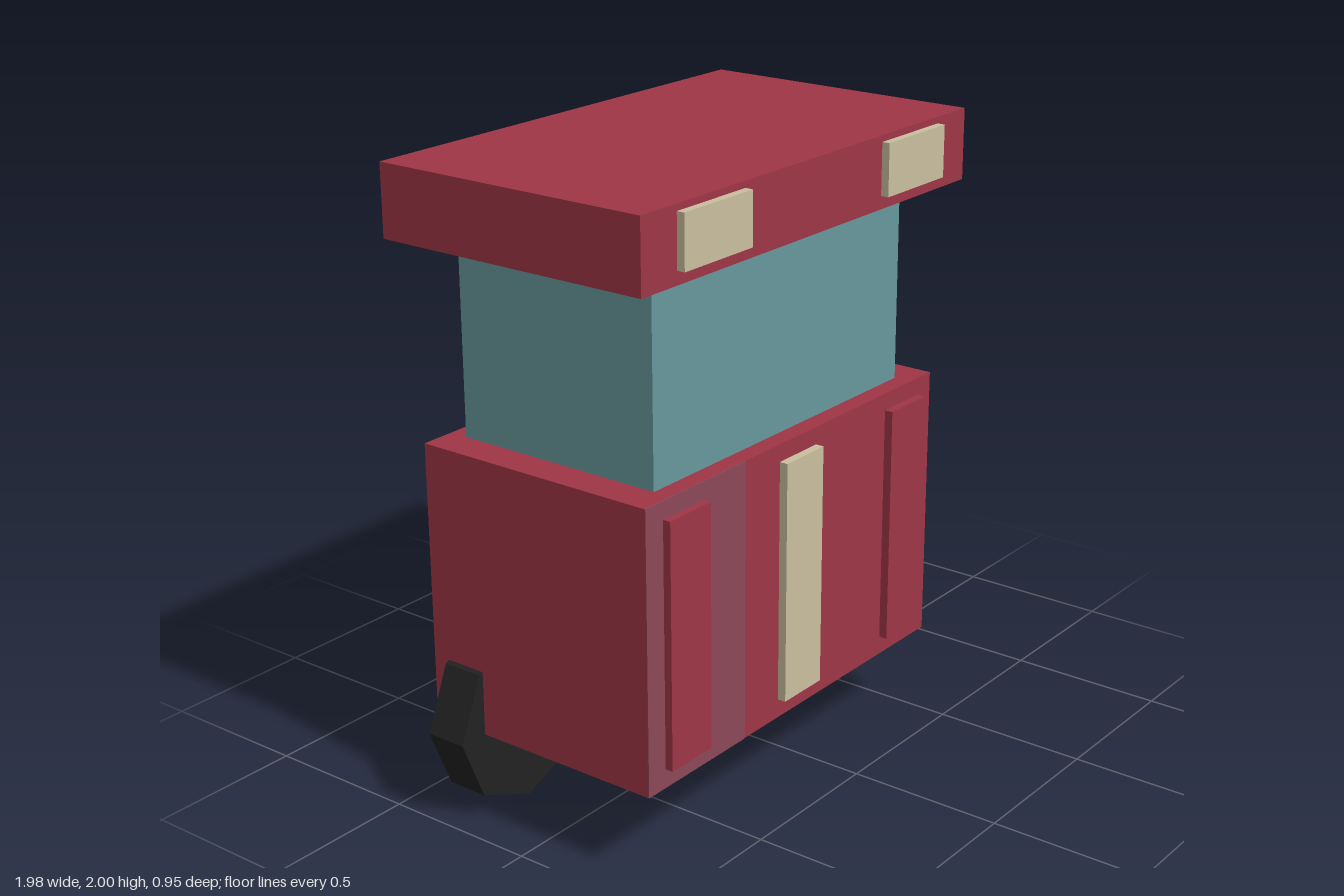
import * as THREE from 'three';

const paint = (name, color) => {
  const m = new THREE.MeshStandardMaterial({ color });
  m.name = name;
  return m;
};

export function createModel() {
  const group = new THREE.Group();
  const red = paint('red', 0x9f3647);
  const mauve = paint('mauve', 0x8d4858);
  const teal = paint('teal', 0x68999d);
  const cream = paint('cream', 0xcabf9f);
  const brown = paint('brown', 0x7f5636);
  const black = paint('black', 0x222222);

  // Box given by its extents along each axis
  const box = (name, mat, [x0, x1], [y0, y1], [z0, z1]) => {
    const mesh = new THREE.Mesh(new THREE.BoxGeometry(x1 - x0, y1 - y0, z1 - z0), mat);
    mesh.position.set((x0 + x1) / 2, (y0 + y1) / 2, (z0 + z1) / 2);
    mesh.name = name;
    group.add(mesh);
  };

  // Body, cabin and roof
  box('body', red, [-0.895, 0.515], [0.285, 1.165], [-0.42, 0.398]);
  box('cabin', teal, [-0.785, 0.403], [1.16, 1.77], [-0.36, 0.34]);
  box('roof', red, [-0.96, 0.58], [1.78, 2], [-0.475, 0.45]);

  // Tinted area on the front of the body
  box('frontTint', mauve, [-0.895, -0.448], [0.285, 1.165], [0.396, 0.4]);

  // Three upright front panels, the middle one cream
  [-0.73, -0.19, 0.355].forEach((x, i) =>
    box('frontPanel', i === 1 ? cream : red, [x - 0.09, x + 0.09], [0.345, 1.11], [0.39, 0.425]));

  // Roof lamps
  for (const x of [-0.665, 0.283])
    box('roofLamp', cream, [x - 0.147, x + 0.147], [1.82, 1.98], [0.44, 0.475]);

  // Handle on the left side
  box('handle', brown, [0.5, 0.985], [0.785, 0.875], [-0.262, -0.17]);

  // Eight-sided wheels
  for (const x of [-0.71, 0.33]) {
    const geo = new THREE.CylinderGeometry(0.282, 0.282, 0.135, 8).toNonIndexed();
    geo.rotateX(Math.PI / 2);
    geo.computeVertexNormals();
    const wheel = new THREE.Mesh(geo, black);
    wheel.position.set(x, 0.285, -0.295);
    wheel.name = 'wheel';
    group.add(wheel);
  }
  return group;
}
